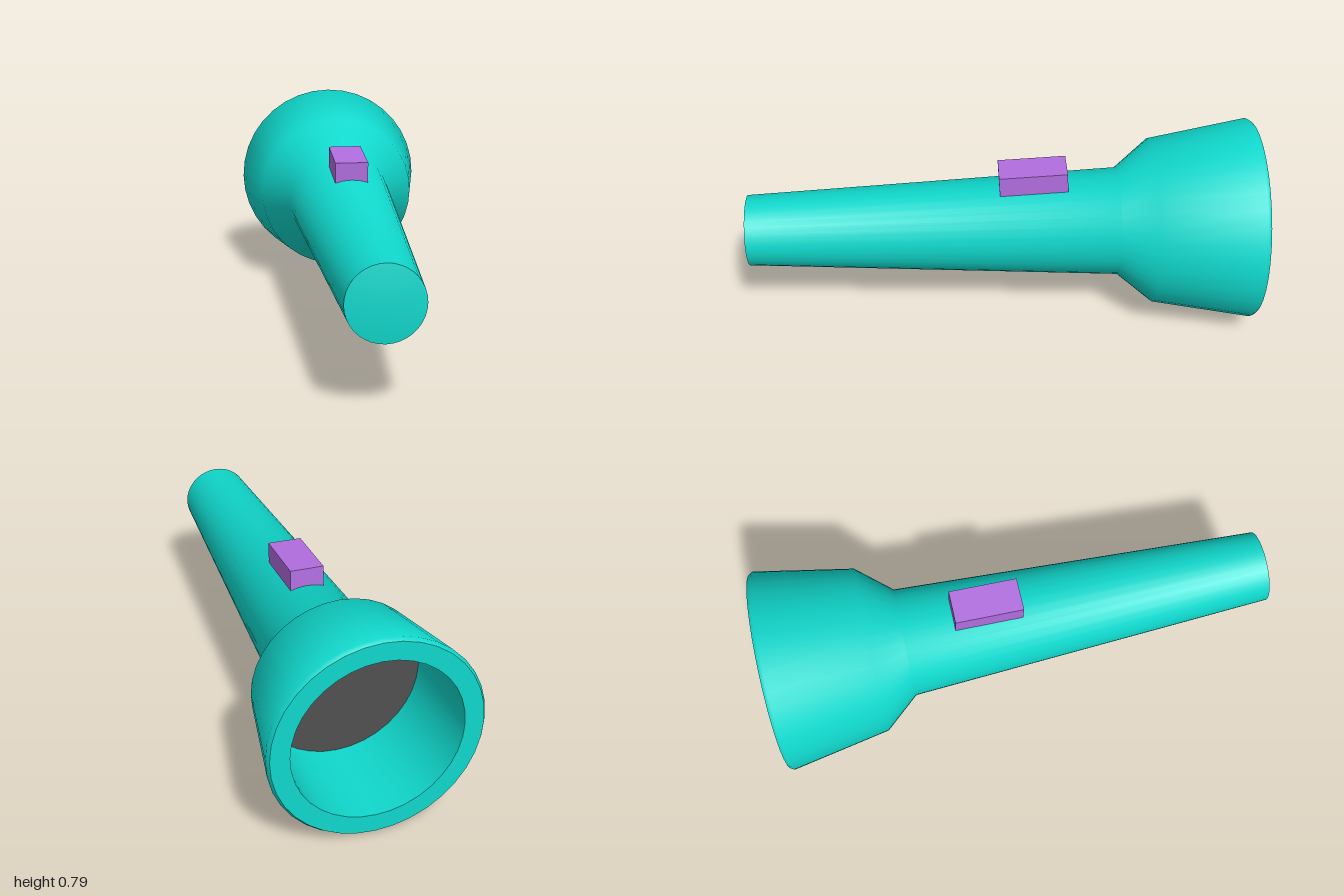
import * as THREE from 'three';
import { toCreasedNormals } from 'three/addons/utils/BufferGeometryUtils.js';

const SIDES = 36;
const AXIS_Y = 0.396;

function part(name, geometry, color) {
  const mesh = new THREE.Mesh(geometry, new THREE.MeshStandardMaterial({ color }));
  mesh.name = name;
  return mesh;
}

export function createModel() {
  const group = new THREE.Group();
  group.name = 'flashlight';

  // Body: [radius, z] from the bottom of the bore, round the rim and along to the tail
  const profile = [
    [0.312, -0.61], [0.315, -1], [0.386, -1], [0.396, -0.985],
    [0.326, -0.6], [0.213, -0.465], [0.139, 0.985], [0, 1],
  ].map(([r, z]) => new THREE.Vector2(r, z));
  const shell = new THREE.LatheGeometry(profile, SIDES).rotateX(Math.PI / 2);
  const body = part('body', toCreasedNormals(shell, Math.PI / 4), 0x10d8cc);
  body.position.y = AXIS_Y;
  group.add(body);

  // Dark lens at the bottom of the bore, facing back
  const lens = part('lens', new THREE.CircleGeometry(0.313, SIDES).rotateY(Math.PI), 0x505050);
  lens.position.set(0, AXIS_Y, -0.609);
  group.add(lens);

  // Switch block, tilted to follow the taper of the handle
  const button = part('switch', new THREE.BoxGeometry(0.13, 0.12, 0.264), 0xb26ee0);
  button.position.set(0, 0.602, -0.133);
  button.rotation.x = 0.05;
  group.add(button);

  return group;
}
